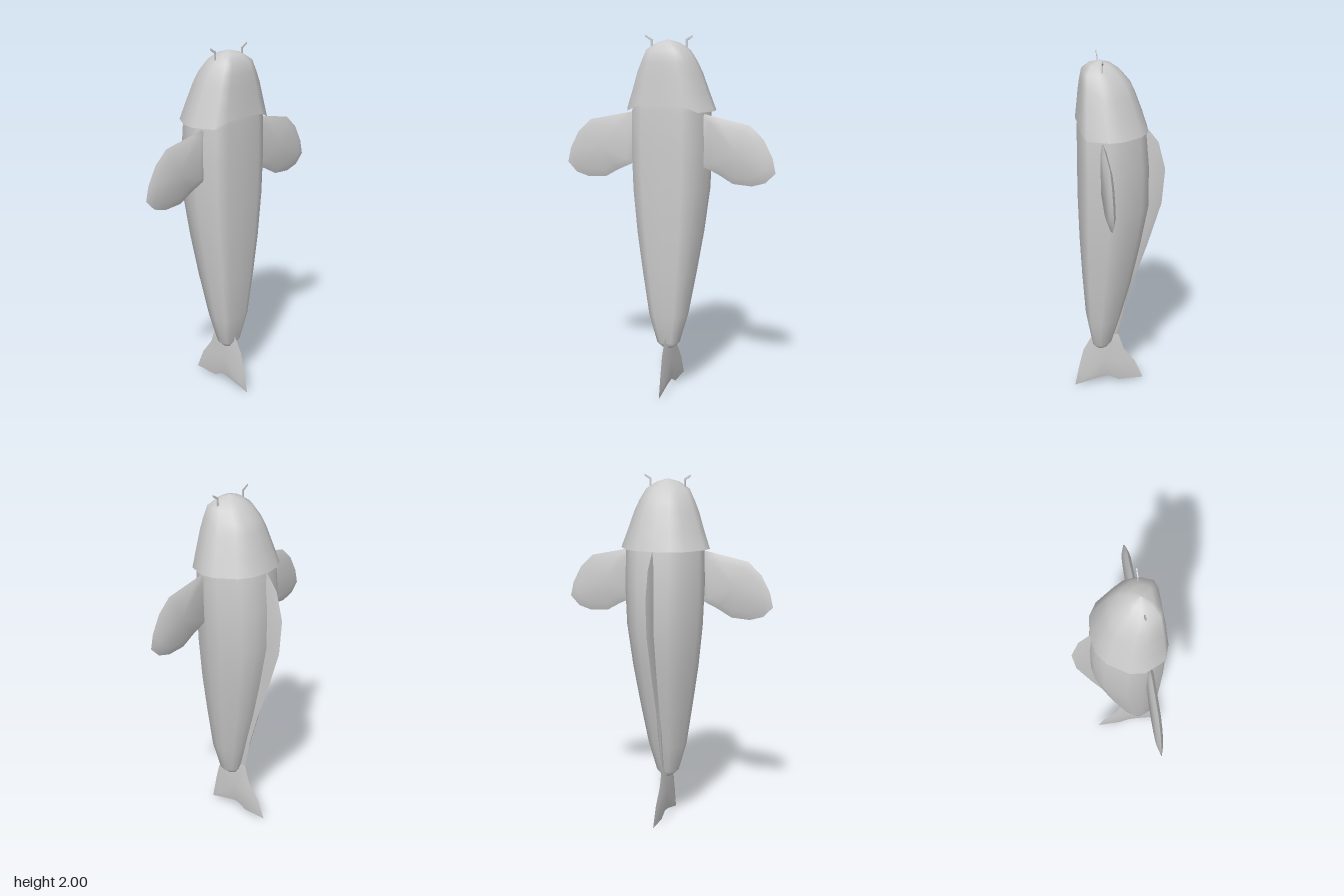
import * as THREE from 'three';
import { toCreasedNormals } from 'three/addons/utils/BufferGeometryUtils.js';

const material = new THREE.MeshStandardMaterial({ color: 0xcccccc, side: THREE.DoubleSide });

// Half cross-section [across, front-to-back], flat belly in front, rounded back
const HALF = [[0, 1], [0.52, 1], [0.8, 0.87], [1, 0.28], [0.96, -0.13], [0.68, -0.69], [0.4, -0.93], [0, -1]];
const SECTION = [...HALF, ...HALF.slice(1, -1).reverse().map(([u, v]) => [-u, v])];

function build(positions, index) {
  const g = new THREE.BufferGeometry();
  g.setAttribute('position', new THREE.Float32BufferAttribute(positions, 3));
  g.setIndex(index);
  g.computeVertexNormals();
  return g;
}

// Skin through rows of [y, halfWidth, zFront, zBack], lowest row first
function loft(rows, lift = () => 0) {
  const positions = [], index = [], n = SECTION.length;
  rows.forEach(([y, w, zf, zb], i) => {
    for (const [u, v] of SECTION) {
      positions.push(u * w, y + lift(i, u, v), (zf + zb) / 2 + v * (zf - zb) / 2);
    }
    if (i === rows.length - 1) return;
    for (let j = 0; j < n; j++) {
      const a = i * n + j, b = i * n + (j + 1) % n;
      index.push(a, b, a + n, b, b + n, a + n);
    }
  });
  return build(positions, index);
}

// Fin in the XY plane: sharp rim, bevel, and flatter middle on both faces
function fin(outline, [cx, cy], half, inset) {
  const pts = THREE.ShapeUtils.area(outline.map(([x, y]) => new THREE.Vector2(x, y))) < 0
    ? [...outline].reverse() : outline;
  const n = pts.length, positions = [], index = [];
  const ring = (s, z) => pts.forEach(([x, y]) => positions.push(cx + (x - cx) * s, cy + (y - cy) * s, z));
  ring(1, 0);
  ring(inset, half);
  ring(inset, -half);
  positions.push(cx, cy, half, cx, cy, -half);
  for (let j = 0; j < n; j++) {
    const k = (j + 1) % n;
    index.push(j, k, n + j, k, n + k, n + j, n + j, n + k, 3 * n);
    index.push(k, j, 2 * n + j, k, 2 * n + j, 2 * n + k, 2 * n + k, 2 * n + j, 3 * n + 1);
  }
  return toCreasedNormals(build(positions, index), 0.9);
}

export function createModel() {
  const model = new THREE.Group();
  model.name = 'fish';
  const add = (name, geometry) => {
    const mesh = new THREE.Mesh(geometry, material);
    mesh.name = name;
    model.add(mesh);
  };

  // Tapering body, belly towards the front
  add('body', loft([
    [0.25, 0.004, 0.105, 0.095],
    [0.262, 0.03, 0.13, 0.07],
    [0.295, 0.065, 0.155, 0.045],
    [0.46, 0.112, 0.185, -0.005],
    [0.7, 0.152, 0.2, -0.07],
    [0.93, 0.188, 0.21, -0.12],
    [1.17, 0.215, 0.215, -0.165],
    [1.4, 0.225, 0.215, -0.165],
    [1.6, 0.22, 0.213, -0.148],
    [1.66, 0.205, 0.205, -0.125],
  ]));

  // Domed head whose rim arches over the belly
  add('head', loft([
    [1.6, 0.25, 0.221, -0.157],
    [1.7, 0.214, 0.215, -0.125],
    [1.8, 0.181, 0.207, -0.088],
    [1.86, 0.154, 0.2, -0.06],
    [1.92, 0.122, 0.19, -0.01],
    [1.957, 0.065, 0.155, 0.04],
    [1.975, 0.003, 0.102, 0.098],
  ], (i, u, v) => (i === 0 && v === 1 ? 0.04 - 0.02 * Math.abs(u) : 0)));

  // Paired side fins and whiskers
  const sideFin = [[0.19, 1.59], [0.28, 1.572], [0.46, 1.535], [0.535, 1.465], [0.585, 1.37], [0.603, 1.29],
    [0.55, 1.235], [0.475, 1.213], [0.37, 1.22], [0.29, 1.265], [0.19, 1.31]];
  const whisker = [[0.095, 1.93], [0.104, 1.93], [0.104, 1.968], [0.134, 1.988], [0.134, 1.998], [0.095, 1.976]];
  for (const [side, s] of [['left', 1], ['right', -1]]) {
    const mirror = (pts) => pts.map(([x, y]) => [s * x, y]);
    add(side + 'SideFin', fin(mirror(sideFin), [s * 0.39, 1.39], 0.016, 0.76).translate(0, 0, 0.114));
    const shape = new THREE.Shape(mirror(whisker).map(([x, y]) => new THREE.Vector2(x, y)));
    add(side + 'Whisker', new THREE.ExtrudeGeometry(shape, { depth: 0.006, bevelEnabled: false })
      .translate(0, 0, 0.097));
  }

  // Back fin and tail stand in the middle plane, outlined as [z, y]
  add('backFin', fin([[-0.1, 1.62], [-0.155, 1.595], [-0.22, 1.51], [-0.26, 1.35], [-0.243, 1.15], [-0.165, 0.9],
    [-0.095, 0.7], [-0.035, 0.5], [0, 0.33], [0.04, 0.33], [-0.03, 0.9]], [-0.14, 1.2], 0.01, 0.75)
    .rotateY(-Math.PI / 2));
  add('tailFin', fin([[0.16, 0.33], [0.21, 0.24], [0.237, 0.13], [0.262, 0.003], [0.115, 0.042], [0.06, 0.05],
    [0, 0.018], [-0.147, 0.02], [-0.1, 0.135], [-0.03, 0.23], [0, 0.33]], [0.08, 0.17], 0.007, 0.7)
    .rotateY(-Math.PI / 2));

  return model;
}
